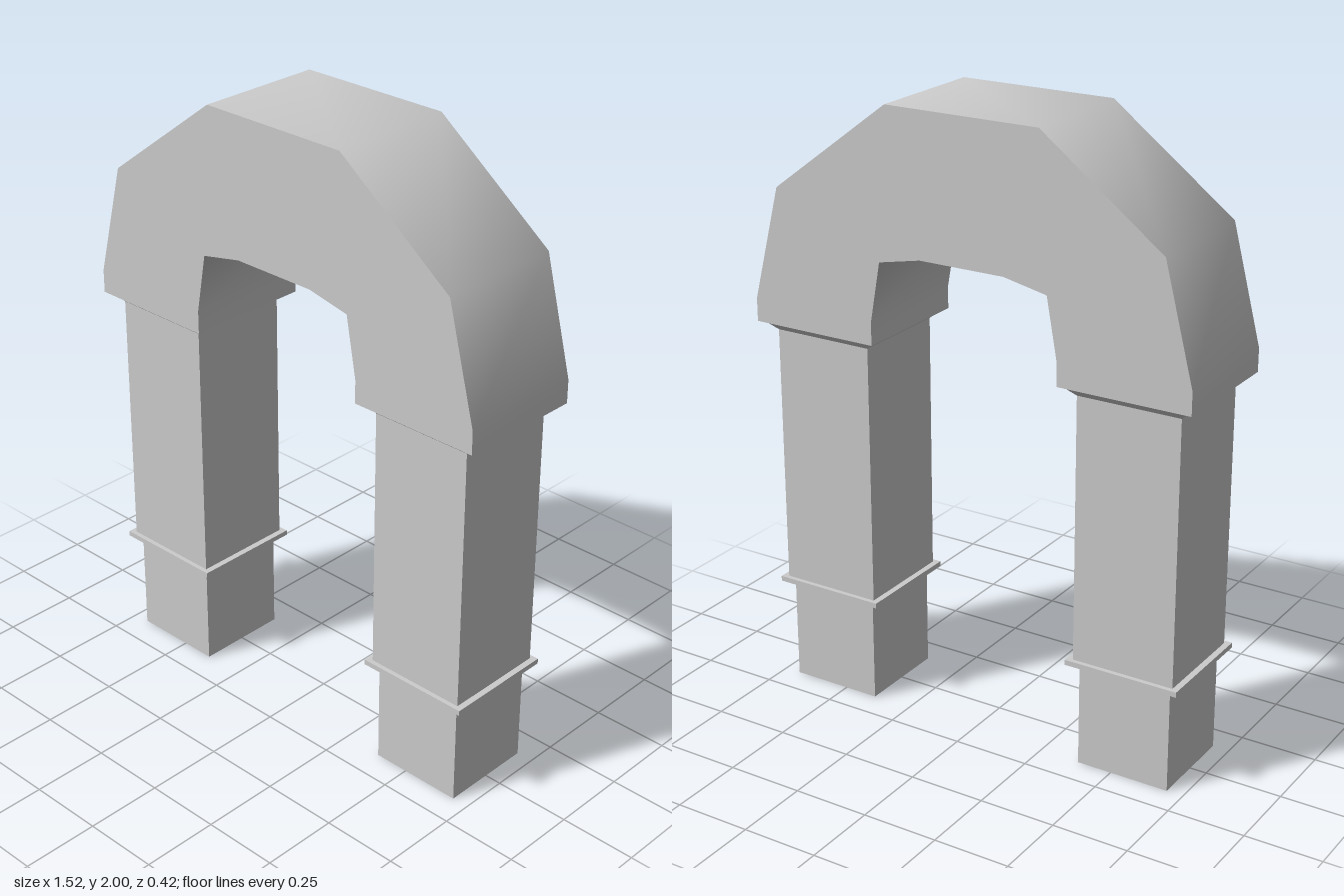
import * as THREE from 'three';
import { toCreasedNormals } from 'three/addons/utils/BufferGeometryUtils.js';

const material = new THREE.MeshStandardMaterial({ color: 0xcccccc });

function addMesh(parent, name, geometry) {
  const mesh = new THREE.Mesh(geometry, material);
  mesh.name = name;
  parent.add(mesh);
  return mesh;
}

// Square block between two heights, with half-widths in x and z
function addBlock(parent, name, y0, y1, hx, hz = hx) {
  const mesh = addMesh(parent, name, new THREE.BoxGeometry(hx * 2, y1 - y0, hz * 2));
  mesh.position.y = (y0 + y1) / 2;
}

// Square tapered collar
function addTaper(parent, name, y0, y1, h0, h1) {
  const geometry = new THREE.CylinderGeometry(h1 * Math.SQRT2, h0 * Math.SQRT2, y1 - y0, 4);
  geometry.rotateY(Math.PI / 4);
  const mesh = addMesh(parent, name, toCreasedNormals(geometry, 0.5));
  mesh.position.y = (y0 + y1) / 2;
}

function createArch(parent) {
  // Right half of the outline, from the foot up to the crown
  const outer = [[0.76, 1.25], [0.76, 1.325], [0.665, 1.695], [0.26, 2]];
  const inner = [[0.325, 1.25], [0.325, 1.325], [0.29, 1.52], [0.145, 1.55]];
  const mirror = (points) => points.map(([x, y]) => [-x, y]).reverse();
  const outline = [
    ...outer, ...mirror(outer),
    ...mirror(inner).reverse(), ...[...inner].reverse(),
  ];
  const shape = new THREE.Shape(outline.map(([x, y]) => new THREE.Vector2(x, y)));
  const geometry = new THREE.ExtrudeGeometry(shape, { depth: 0.42, bevelEnabled: false });
  geometry.translate(0, 0, -0.21);
  // Smooth around the curve, sharp at the front, back and feet
  addMesh(parent, 'arch', toCreasedNormals(geometry, 1.35));
}

function createLeg(name, x) {
  const leg = new THREE.Group();
  leg.name = name;
  leg.position.x = x;
  addBlock(leg, 'foot', 0, 0.345, 0.155);
  addBlock(leg, 'band', 0.345, 0.362, 0.19, 0.185);
  addBlock(leg, 'shaft', 0.362, 1.22, 0.17);
  addTaper(leg, 'collar', 1.22, 1.25, 0.17, 0.2);
  return leg;
}

export function createModel() {
  const model = new THREE.Group();
  model.name = 'archway';
  createArch(model);
  model.add(createLeg('leftLeg', 0.54), createLeg('rightLeg', -0.54));
  return model;
}
